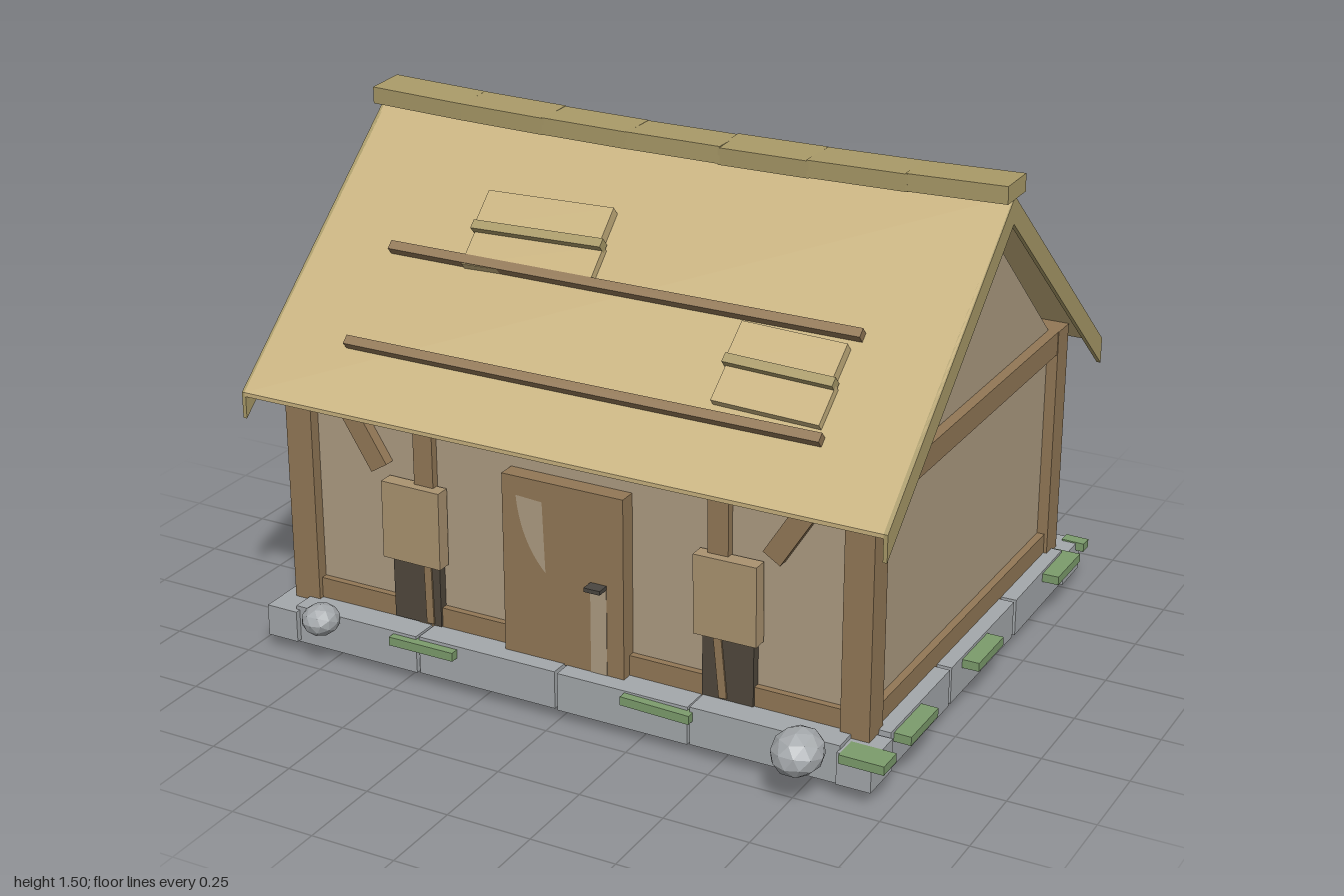
import * as THREE from 'three';

const mat = (color) => new THREE.MeshStandardMaterial({ color, flatShading: true, side: THREE.DoubleSide });
const M = {
  thatch: mat(0xc8b27f), ridge: mat(0xa99a68), wood: mat(0x927856), wall: mat(0xae9c82),
  shutter: mat(0xaa9370), dark: mat(0x50483c), stone: mat(0xa4a8ab), moss: mat(0x7c9c6c), iron: mat(0x4a4640),
};
const RIDGE_Z = -0.06, RIDGE_Y = 1.46, SLOPE = 0.862, RUN = 0.768;
const PITCH = Math.atan(SLOPE);

// small seeded jitter in -1..1
let seed = 7;
const jitter = () => {
  seed = (seed * 16807) % 2147483647;
  return (seed / 2147483647) * 2 - 1;
};

export function createModel() {
  const root = new THREE.Group();

  const add = (name, geo, material, parent = root) => {
    const mesh = new THREE.Mesh(geo, material);
    mesh.name = name;
    parent.add(mesh);
    return mesh;
  };
  // box given by its min and max on each axis
  const box = (name, material, x0, x1, y0, y1, z0, z1, parent = root) => {
    const mesh = add(name, new THREE.BoxGeometry(x1 - x0, y1 - y0, z1 - z0), material, parent);
    mesh.position.set((x0 + x1) / 2, (y0 + y1) / 2, (z0 + z1) / 2);
    return mesh;
  };
  // outline in (z, y), extruded along x
  const slabX = (name, material, pts, x0, x1) => {
    const shape = new THREE.Shape(pts.map(([z, y]) => new THREE.Vector2(-z, y)));
    const geo = new THREE.ExtrudeGeometry(shape, { depth: x1 - x0, bevelEnabled: false });
    geo.rotateY(Math.PI / 2).translate(x0, 0, 0);
    return add(name, geo, material);
  };

  // foundation slab with a ring of uneven stones
  box('foundation', M.stone, -0.855, 0.84, 0.005, 0.14, -0.68, 0.55);
  const stone = (...b) => {
    const s = box('foundationStone', M.stone, ...b);
    s.rotation.set(0, jitter() * 0.012, jitter() * 0.008);
    s.position.y += jitter() * 0.003;
  };
  const xs = [-0.87, -0.45, 0.0, 0.41, 0.86];
  const zs = [-0.70, -0.31, 0.16, 0.57];
  for (let i = 0; i < 4; i++) {
    stone(xs[i], xs[i + 1] - 0.008, 0.038, 0.152, 0.55, 0.685);
    stone(xs[i], xs[i + 1] - 0.008, 0.038, 0.152, -0.815, -0.68);
  }
  for (let i = 0; i < 3; i++) {
    stone(0.83, 0.94, 0.038, 0.15, zs[i], zs[i + 1] - 0.015);
    stone(-0.95, -0.84, 0.038, 0.15, zs[i], zs[i + 1] - 0.015);
  }
  for (const x of [-0.91, 0.9]) for (const z of [-0.76, 0.63]) {
    stone(x - 0.05, x + 0.05, 0.045, 0.14, z - 0.065, z + 0.07);
  }

  // moss patches on the stones
  const moss = (x, z, w, d) => {
    const m = box('moss', M.moss, x - w / 2, x + w / 2, 0.117, 0.143, z - d / 2, z + d / 2);
    m.rotation.z = jitter() * 0.04;
  };
  for (const x of [-0.43, 0.315]) moss(x, 0.68, 0.21, 0.06);
  moss(0.925, 0.67, 0.13, 0.08);
  for (const x of [0.73, 0.1, -0.58]) moss(x, -0.81, 0.19, 0.04);
  for (const z of [0.445, -0.02, -0.63]) moss(0.945, z, 0.09, 0.18);
  moss(0.94, -0.81, 0.07, 0.04);

  // loose rocks by the front
  for (const [x, y, z, r] of [[-0.755, 0.153, 0.725, 0.058], [0.77, 0.157, 0.765, 0.077]]) {
    const rock = add('rock', new THREE.IcosahedronGeometry(r, 1), M.stone);
    rock.scale.set(1.03, 0.8, 0.95);
    rock.rotation.set(0.1, x * 2, 0.15);
    rock.position.set(x, y, z);
  }

  // plaster walls and gables in one house-shaped prism
  slabX('walls', M.wall, [[0.58, 0.14], [0.58, 0.82], [RIDGE_Z, 1.41], [-0.705, 0.82], [-0.705, 0.14]], -0.885, 0.872);

  // timber frame
  for (const [x0, x1] of [[-0.92, -0.835], [0.82, 0.905]]) {
    box('cornerPost', M.wood, x0, x1, 0.14, 0.86, 0.53, 0.615);
    box('cornerPost', M.wood, x0, x1, 0.14, 0.86, -0.74, -0.66);
    box('sideSill', M.wood, x0 + 0.01, x1 - 0.01, 0.14, 0.212, -0.66, 0.53);
    box('sideBeam', M.wood, x0 + 0.002, x1 - 0.002, 0.79, 0.86, -0.7, 0.57);
  }
  for (const [z0, z1] of [[0.53, 0.6], [-0.728, -0.66]]) {
    box('longSill', M.wood, -0.84, 0.83, 0.14, 0.212, z0, z1);
    box('longBeam', M.wood, -0.84, 0.83, 0.77, 0.84, z0, z1);
    for (const x of [-0.47, 0.45]) box('middlePost', M.wood, x - 0.031, x + 0.031, 0.14, 0.8, z0, z1 + (z0 > 0 ? 0.004 : 0));
  }
  for (const side of [-1, 1]) {
    const brace = box('brace', M.wood, -0.03, 0.03, -0.12, 0.12, -0.025, 0.025);
    brace.position.set(side * 0.675, 0.71, 0.588);
    brace.rotation.z = -side * 0.56;
  }

  // door with worn patches and a latch
  const door = new THREE.Group();
  door.name = 'door';
  root.add(door);
  box('doorPanel', M.wood, -0.197, 0.18, 0.15, 0.69, 0.54, 0.632, door);
  const worn = new THREE.Shape();
  worn.moveTo(-0.152, 0.635).lineTo(-0.07, 0.63).lineTo(-0.062, 0.42).quadraticCurveTo(-0.14, 0.5, -0.152, 0.635);
  add('wornPatch', new THREE.ShapeGeometry(worn), M.wall, door).position.z = 0.634;
  box('wornStrip', M.wall, 0.078, 0.128, 0.152, 0.41, 0.62, 0.634, door);
  box('latch', M.iron, 0.078, 0.128, 0.412, 0.424, 0.63, 0.67, door);

  // shuttered windows
  for (const x of [-0.501, 0.484]) {
    box('windowOpening', M.dark, x - 0.077, x + 0.077, 0.155, 0.4, 0.56, 0.607);
    const shutter = box('shutter', M.shutter, x - 0.094, x + 0.094, 0.346, 0.58, 0.585, 0.63);
    shutter.rotation.z = 0.008 * Math.sign(x);
  }
  for (const [x, lean] of [[-0.46, 0.02], [0.462, 0.1]]) {
    const stay = box('shutterStay', M.wood, x - 0.012, x + 0.012, 0.16, 0.345, 0.59, 0.612);
    stay.rotation.z = lean;
  }

  // thin roof sheets with deeper verge boards at the gable ends
  const chevron = (drop) => {
    const eave = RIDGE_Y - RUN * SLOPE, f = RIDGE_Z + RUN, b = RIDGE_Z - RUN;
    return [[f, eave], [RIDGE_Z, RIDGE_Y], [b, eave], [b, eave - drop], [RIDGE_Z, RIDGE_Y - drop], [f, eave - drop]];
  };
  slabX('roof', M.thatch, chevron(0.012), -0.99, 0.975);
  slabX('vergeBoard', M.ridge, chevron(0.078), -0.998, -0.986);
  slabX('vergeBoard', M.ridge, chevron(0.078), 0.967, 0.979);

  // uneven ridge caps with a slight sag
  const rx = [-1, -0.7, -0.43, -0.16, 0.13, 0.4, 0.69, 0.982];
  for (let i = 0; i < 7; i++) {
    const mid = (rx[i] + rx[i + 1]) / 2;
    const y = 1.462 + 0.018 * mid * mid;
    const cap = box('ridgeCap', M.ridge, rx[i], rx[i + 1] + (i < 6 ? 0.006 : 0), y - 0.024, y + 0.026, -0.126, 0.0);
    cap.rotation.set(jitter() * 0.06, 0, 0.036 * mid + jitter() * 0.006);
  }

  // slope frames: local y points off the roof, local z runs down it
  const slopes = [1, -1].map((side) => {
    const g = new THREE.Group();
    g.name = side > 0 ? 'frontSlope' : 'backSlope';
    g.position.set(0, RIDGE_Y, RIDGE_Z);
    g.rotation.x = side * PITCH;
    root.add(g);
    const down = 1 / Math.cos(PITCH);
    for (const run of [0.37, 0.608]) {
      const c = side * run * down;
      box('roofBatten', M.wood, -0.74, 0.722, -0.005, 0.027, c - 0.014, c + 0.014, g);
    }
    return g;
  });

  // repair planks on the front slope: two overlapping boards and a cross strip
  const patch = (x0, x1, s0, s1, twist) => {
    const g = new THREE.Group();
    g.name = 'roofPatch';
    g.position.set((x0 + x1) / 2, 0, (s0 + s1) / 2);
    g.rotation.y = twist;
    slopes[0].add(g);
    const w = (x1 - x0) / 2, h = (s1 - s0) / 2;
    box('upperPlank', M.thatch, -w, w - 0.012, -0.005, 0.032, -h, 0, g);
    box('lowerPlank', M.thatch, -w + 0.006, w, -0.005, 0.024, 0, h, g);
    box('patchStrip', M.ridge, -w, w, 0.01, 0.044, -0.014, 0.014, g);
  };
  patch(-0.505, -0.095, 0.26, 0.5, 0.03);
  patch(0.385, 0.708, 0.525, 0.765, -0.03);

  return root;
}
